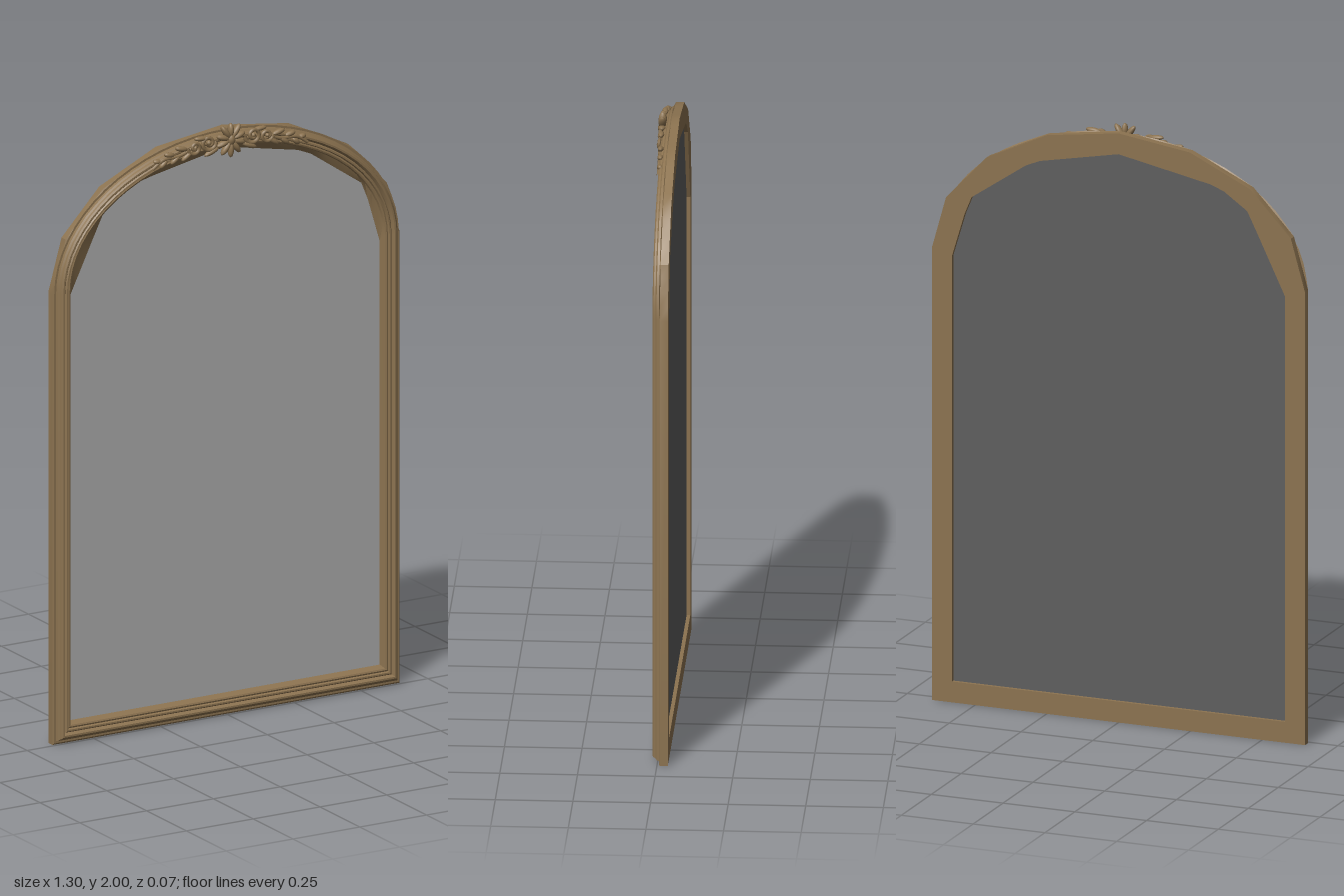
import * as THREE from 'three';
import { toCreasedNormals } from 'three/addons/utils/BufferGeometryUtils.js';

const W = 0.65, SPRING = 1.52, TOP = 1.98, N = 32;
const gold = new THREE.MeshStandardMaterial({ color: 0x8c7350 });
gold.name = 'antique gold';
const silver = new THREE.MeshStandardMaterial({ color: 0xa8a8a8 });
silver.name = 'mirror grey';
const dark = new THREE.MeshStandardMaterial({ color: 0x5e5e5e });
dark.name = 'backing grey';

// Point on the arch, inset by d, at angle a
const archPoint = (d, a) => [(W - d) * Math.cos(a), SPRING + (TOP - SPRING - d) * Math.sin(a)];

// Closed outline inset by d; facets > 0 gives straight chords in the arch
function outline(d, facets = 0) {
  const pts = [[-(W - d), d]];
  for (let k = 0; k <= N; k++) {
    const t = k / N;
    if (!facets) { pts.push(archPoint(d, Math.PI * (1 - t))); continue; }
    const i = Math.min(Math.floor(t * facets), facets - 1), f = t * facets - i;
    const p = archPoint(d, Math.PI * (1 - i / facets)), q = archPoint(d, Math.PI * (1 - (i + 1) / facets));
    pts.push([p[0] + (q[0] - p[0]) * f, p[1] + (q[1] - p[1]) * f]);
  }
  pts.push([W - d, d]);
  return pts;
}

// Opening of the frame, with a few broad irregular facets in the arch
const OPENING = [[-0.58, 1.5], [-0.45, 1.77], [-0.35, 1.84], [0, 1.91], [0.3, 1.85], [0.52, 1.7], [0.58, 1.5]];
function opening() {
  const pts = [[-0.58, 0.07]];
  for (let k = 0; k <= N; k++) {
    const x = -0.58 * Math.cos(Math.PI * k / N);
    let i = 0;
    while (i < OPENING.length - 2 && x > OPENING[i + 1][0]) i++;
    const [p, q] = [OPENING[i], OPENING[i + 1]];
    pts.push([x, p[1] + (q[1] - p[1]) * (x - p[0]) / (q[0] - p[0])]);
  }
  pts.push([0.58, 0.07]);
  return pts;
}

// Skin between successive closed rings
function loft(rings) {
  const pos = [];
  for (let i = 0; i < rings.length - 1; i++) {
    const [r, s] = [rings[i], rings[i + 1]];
    for (let j = 0; j < r.pts.length; j++) {
      const k = (j + 1) % r.pts.length;
      const a = [...r.pts[j], r.z], b = [...s.pts[j], s.z], c = [...s.pts[k], s.z], e = [...r.pts[k], r.z];
      pos.push(...a, ...b, ...c, ...a, ...c, ...e);
    }
  }
  const g = new THREE.BufferGeometry();
  g.setAttribute('position', new THREE.Float32BufferAttribute(pos, 3));
  return toCreasedNormals(g, 0.4);
}

function add(parent, name, geo, mat) {
  const m = new THREE.Mesh(geo, mat);
  m.name = name;
  parent.add(m);
  return m;
}

// Rounded leaf or petal lying on the frame
function leaf(parent, name, x, y, angle, len, wid, z = 0.014, deep = 0.01) {
  const m = add(parent, name, new THREE.SphereGeometry(1, 12, 8), gold);
  m.position.set(x, y, z);
  m.rotation.z = angle;
  m.scale.set(len, wid, deep);
  return m;
}

// Tapered-in curl
function scroll(parent, x, y, radius, turns, start, dir, thick) {
  const pts = [];
  for (let i = 0; i <= 16; i++) {
    const t = i / 16, r = radius * (1 - 0.8 * t), a = start + dir * turns * 2 * Math.PI * t;
    pts.push(new THREE.Vector3(r * Math.cos(a), r * Math.sin(a), 0.006 * t));
  }
  const m = add(parent, 'scroll', new THREE.TubeGeometry(new THREE.CatmullRomCurve3(pts), 36, thick, 6), gold);
  m.position.set(x, y, 0.019);
  leaf(parent, 'scrollEye', x, y, 0, radius * 0.28, radius * 0.28, 0.023, 0.008);
}

export function createModel() {
  const model = new THREE.Group();
  model.name = 'archedMirror';

  // Moulded frame: back lip, faceted side, then stepped beads towards the glass
  const beads = [[0.012, -0.006], [0.014, 0.002], [0.019, 0.006], [0.021, 0.012], [0.026, 0.016], [0.032, 0.016],
    [0.036, 0.011], [0.039, 0.006], [0.043, 0.01], [0.048, 0.01], [0.051, 0.003], [0.056, 0.005], [0.061, 0.003], [0.064, -0.004]];
  add(model, 'frame', loft([
    { pts: opening(), z: -0.024 },
    { pts: opening(), z: -0.035 },
    { pts: outline(0, 8), z: -0.035 },
    { pts: outline(0, 8), z: -0.009 },
    { pts: outline(0.005), z: -0.006 },
    ...beads.map(([d, z]) => ({ pts: outline(d), z })),
    { pts: opening(), z: -0.017 },
    { pts: opening(), z: -0.024 },
  ]), gold);

  // Glass and its backing
  const shape = new THREE.Shape(opening().map(([x, y]) => new THREE.Vector2(x, y)));
  add(model, 'glass', new THREE.ShapeGeometry(shape), silver).position.z = -0.018;
  const back = new THREE.ShapeGeometry(shape);
  back.rotateY(Math.PI);
  // Turned about y, so mirror the outline again to match the uneven arch
  const flipped = new THREE.Shape(opening().map(([x, y]) => new THREE.Vector2(-x, y)));
  back.copy(new THREE.ShapeGeometry(flipped).rotateY(Math.PI));
  add(model, 'backing', back, dark).position.z = -0.023;

  // Carved crest
  const crest = new THREE.Group();
  crest.name = 'crest';
  model.add(crest);
  const cy = 1.945;
  for (let i = 0; i < 10; i++) {
    const a = Math.PI / 2 + i * Math.PI / 5;
    const long = 0.024 + 0.006 * Math.abs(Math.sin(a));
    leaf(crest, 'petal', 0.03 * Math.cos(a), cy + 0.031 * Math.sin(a), a, i ? long : 0.024, 0.01, 0.02, 0.013);
  }
  leaf(crest, 'boss', 0, cy, 0, 0.016, 0.02, 0.021, 0.014);

  for (const s of [-1, 1]) {
    // Height of the moulding's centre line
    const mid = x => SPRING + 0.425 * Math.sqrt(1 - (x / 0.615) ** 2);
    const tilt = x => s > 0 ? -x * 1.15 : Math.PI + x * 1.15;
    scroll(crest, s * 0.083, mid(0.083) + 0.006, 0.03, 1.4, s > 0 ? Math.PI : 0, s, 0.0065);
    scroll(crest, s * 0.135, mid(0.135) + 0.004, 0.025, 1.3, s > 0 ? 0 : Math.PI, -s, 0.006);
    leaf(crest, 'leaf', s * 0.07, mid(0.07) - 0.028, tilt(0.07) - s * 0.3, 0.03, 0.009, 0.018);
    leaf(crest, 'leaf', s * 0.11, mid(0.11) + 0.026, tilt(0.11) + s * 0.2, 0.026, 0.008, 0.018);
    // Foliage trailing along the arch
    for (let i = 0; i < 6; i++) {
      const x = 0.16 + i * 0.022, side = i % 2 ? 1 : -1;
      leaf(crest, 'trailingLeaf', s * x, mid(x) + side * (0.016 - i * 0.0015),
        tilt(x) + s * side * 0.45, 0.026 - i * 0.002, 0.009, 0.016 - i * 0.0008);
    }
    const stem = [0.05, 0.12, 0.19, 0.25, 0.29].map((x, i) =>
      new THREE.Vector3(s * x, mid(x) + (i % 2 ? 0.006 : -0.006), 0.016));
    add(crest, 'stem', new THREE.TubeGeometry(new THREE.CatmullRomCurve3(stem), 24, 0.006, 6), gold);
  }
  return model;
}
